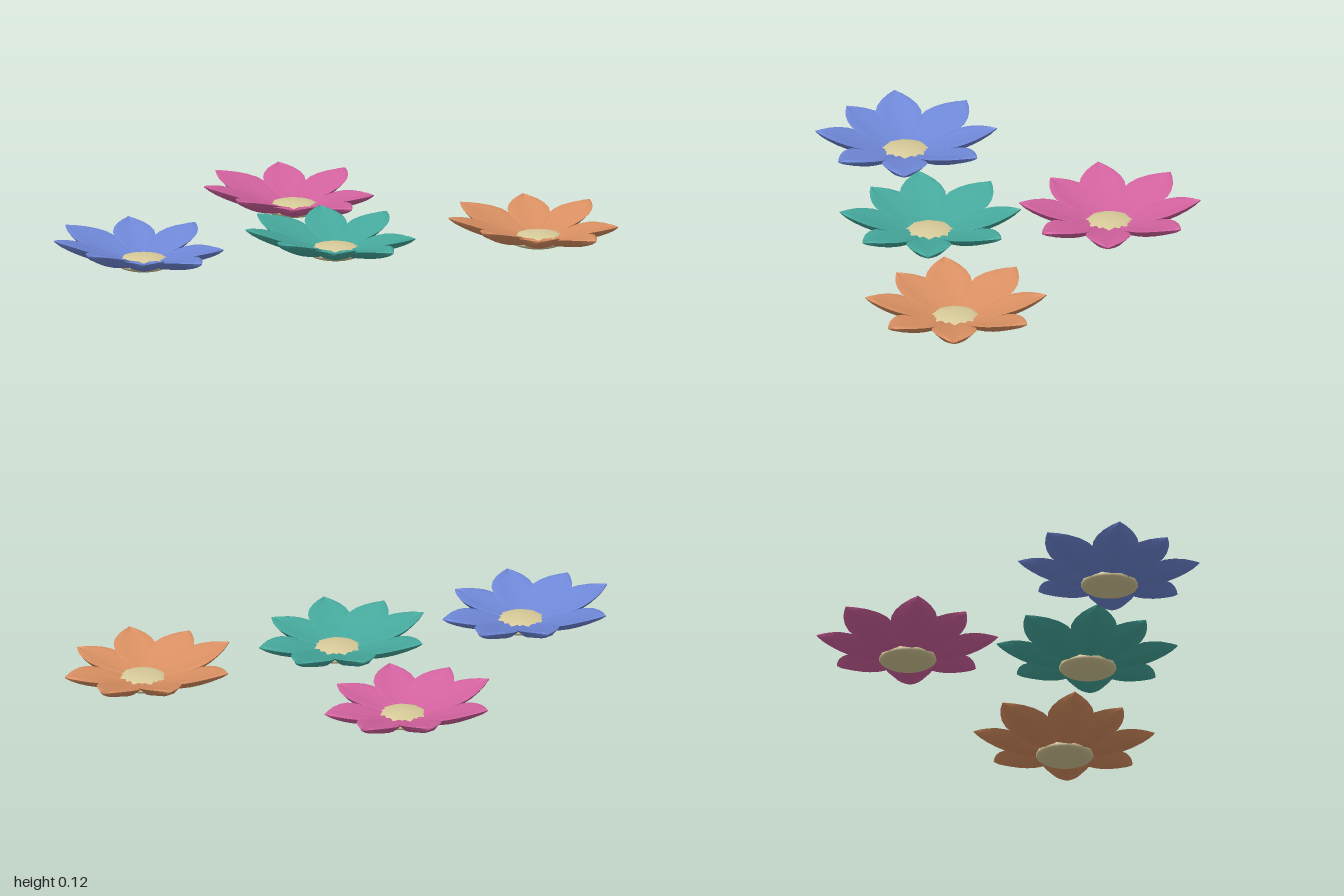
import * as THREE from 'three';
import { toCreasedNormals } from 'three/addons/utils/BufferGeometryUtils.js';

// Petal tips relative to the flower centre: [x, z, tip height, full width]
const TIPS = [
  [0.02, -0.315, 0.11, 0.145],
  [0.235, -0.22, 0.1, 0.145],
  [0.275, 0.04, 0.063, 0.155],
  [0.147, 0.252, 0.072, 0.14],
  [-0.067, 0.305, 0.095, 0.145],
  [-0.24, 0.175, 0.105, 0.15],
  [-0.318, 0, 0.12, 0.16],
  [-0.22, -0.24, 0.112, 0.175],
];

// Half-width along the petal, from the rounded base to the pointed tip
const OUTLINE = [[0, 0.3], [0.12, 0.55], [0.28, 0.83], [0.45, 0.99], [0.58, 1], [0.7, 0.87], [0.82, 0.62], [0.92, 0.32], [1, 0.015]];

// Cross-section: [across, cup factor, thickness factor]; grooved above, keeled below
const SECTION = [[-1, 1, 0], [-0.55, 0.4, 1], [0, 0, 0.7], [0.55, 0.4, 1], [1, 1, 0], [0.6, 0.35, -1], [0, 0, -1.15], [-0.6, 0.35, -1]];

// Cupped leaf-shaped solid along +x
function petalGeometry(length, tipY, width) {
  const positions = [];
  const index = [];
  const n = SECTION.length;
  const start = 0.05;
  const baseY = 0.032;
  for (const [t, w] of OUTLINE) {
    const x = start + t * (length - start);
    const y = baseY + (tipY - baseY) * Math.pow(t, 1.5);
    const half = w * width / 2;
    const thick = 0.014 * Math.sqrt(w);
    for (const [across, cup, h] of SECTION) {
      positions.push(x, y + cup * 0.02 * w + h * thick, across * half);
    }
  }
  for (let i = 0; i < OUTLINE.length - 1; i++) {
    for (let j = 0; j < n; j++) {
      const a = i * n + j, b = i * n + (j + 1) % n;
      index.push(a, b, a + n, b, b + n, a + n);
    }
  }
  const last = (OUTLINE.length - 1) * n;
  for (let j = 1; j < n - 1; j++) {
    index.push(0, j + 1, j, last, last + j, last + j + 1);
  }
  const geometry = new THREE.BufferGeometry();
  geometry.setAttribute('position', new THREE.Float32BufferAttribute(positions, 3));
  geometry.setIndex(index);
  return toCreasedNormals(geometry, 0.7);
}

export function createModel() {
  const model = new THREE.Group();
  model.name = 'flowers';

  const petals = TIPS.map(([x, z, tipY, width]) => ({
    geometry: petalGeometry(Math.hypot(x, z), tipY, width),
    angle: -Math.atan2(z, x),
  }));

  // Flattened dome in the middle of each flower
  const centerGeometry = new THREE.SphereGeometry(1, 24, 12);
  centerGeometry.scale(0.098, 0.027, 0.1);
  const centerMaterial = new THREE.MeshStandardMaterial({ color: 0xd8cb9a });

  function flower(name, color, x, z) {
    const group = new THREE.Group();
    group.name = name;
    const material = new THREE.MeshStandardMaterial({ color });
    petals.forEach(({ geometry, angle }, i) => {
      const petal = new THREE.Mesh(geometry, material);
      petal.name = `petal${i + 1}`;
      petal.rotation.y = angle;
      group.add(petal);
    });
    const center = new THREE.Mesh(centerGeometry, centerMaterial);
    center.name = 'flowerCenter';
    center.position.y = 0.027;
    group.add(center);
    group.position.set(x, 0, z);
    model.add(group);
  }

  // Three flowers in the front row, one behind
  flower('blueFlower', 0x6f88d8, -0.68, 0.315);
  flower('tealFlower', 0x46a99d, 0, 0.315);
  flower('orangeFlower', 0xda9062, 0.72, 0.315);
  flower('pinkFlower', 0xd3629f, 0, -0.31);

  return model;
}
